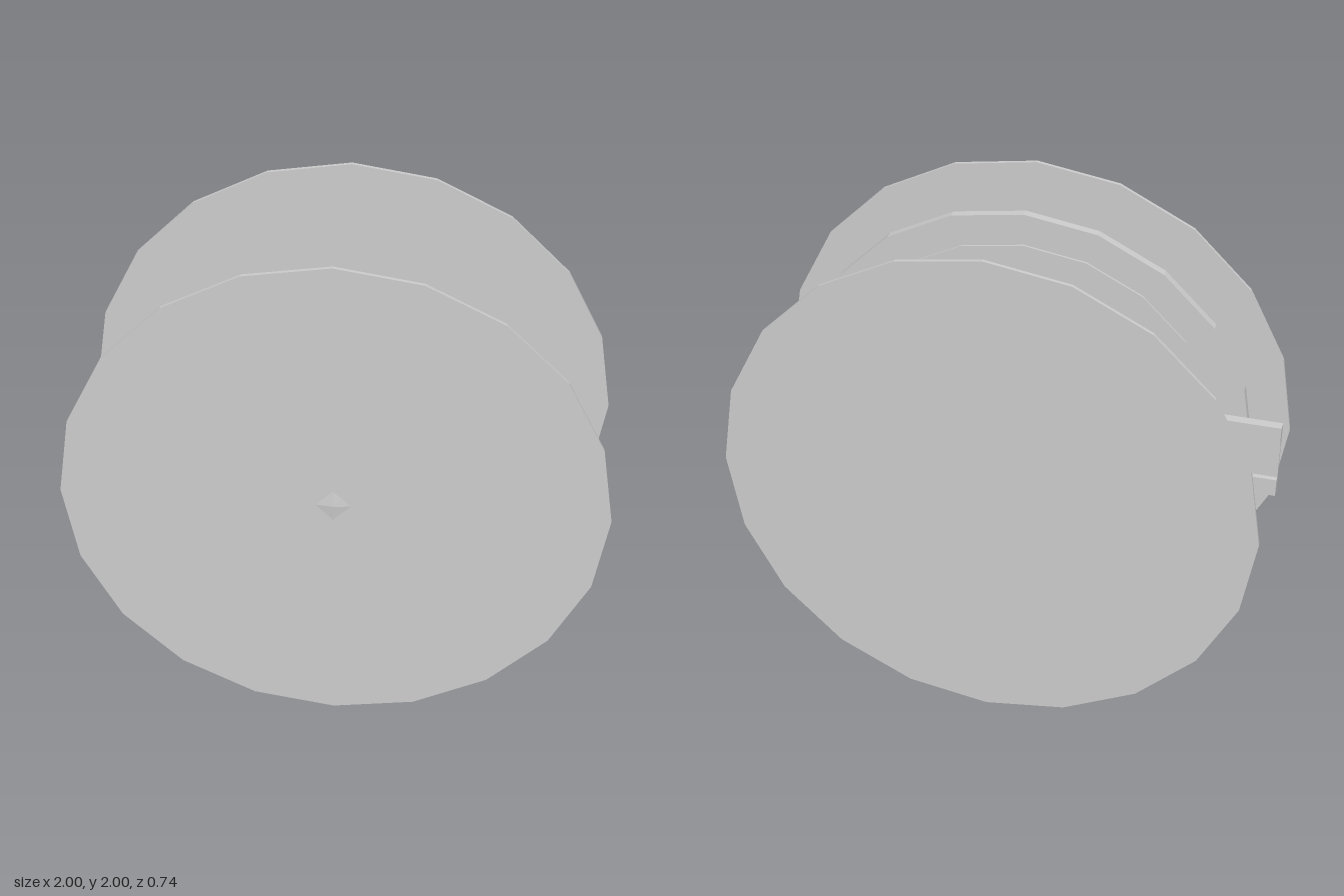
import * as THREE from 'three';

const material = new THREE.MeshStandardMaterial({ color: 0xcccccc, flatShading: true });
const openMaterial = new THREE.MeshStandardMaterial({ color: 0xcccccc, flatShading: true, side: THREE.DoubleSide });

// Twenty-sided plate facing z, spanning z0 to z1
function disc(name, radius, z0, z1) {
  const geometry = new THREE.CylinderGeometry(radius, radius, z1 - z0, 20).rotateX(Math.PI / 2);
  const mesh = new THREE.Mesh(geometry, material);
  mesh.name = name;
  mesh.position.set(0, 1, (z0 + z1) / 2);
  return mesh;
}

// Box given by its extents
function box(name, [x0, x1], [y0, y1], [z0, z1]) {
  const mesh = new THREE.Mesh(new THREE.BoxGeometry(x1 - x0, y1 - y0, z1 - z0), material);
  mesh.name = name;
  mesh.position.set((x0 + x1) / 2, (y0 + y1) / 2, (z0 + z1) / 2);
  return mesh;
}

// Ball made from a subdivided cube, with a square opening on each x side
function openBall(radius) {
  const source = new THREE.BoxGeometry(2, 2, 2, 8, 8, 8).toNonIndexed().attributes.position;
  const warp = (u) => u * (0.865 + 0.135 * u * u);
  const points = [];
  const v = new THREE.Vector3();
  for (let i = 0; i < source.count; i += 3) {
    const inOpening = [0, 1, 2].every((k) =>
      Math.abs(source.getX(i + k)) > 0.99 &&
      Math.abs(source.getY(i + k)) < 0.26 &&
      Math.abs(source.getZ(i + k)) < 0.26);
    if (inOpening) continue;
    for (let k = 0; k < 3; k++) {
      v.fromBufferAttribute(source, i + k);
      v.set(warp(v.x), warp(v.y), warp(v.z)).setLength(radius);
      points.push(v.x, v.y, v.z);
    }
  }
  const geometry = new THREE.BufferGeometry();
  geometry.setAttribute('position', new THREE.Float32BufferAttribute(points, 3));
  geometry.computeVertexNormals();
  return geometry;
}

export function createModel() {
  const model = new THREE.Group();
  model.name = 'discAssembly';

  // Outer plates and the stepped middle plate
  model.add(
    disc('frontPlate', 1, 0.35, 0.363),
    disc('backPlate', 1, -0.37, -0.357),
    disc('middlePlate', 0.88, 0.174, 0.205),
    disc('middlePlateCore', 0.757, 0.166, 0.211),
  );

  // Central ball
  const ball = new THREE.Mesh(openBall(0.295), openMaterial);
  ball.name = 'ball';
  ball.position.set(0, 1, 0.075);
  model.add(ball);

  // Channel rail behind the middle plate
  const rail = new THREE.Group();
  rail.name = 'rail';
  const span = [-0.99, 0.685];
  rail.add(
    box('railBase', span, [0.845, 1.155], [0.153, 0.17]),
    box('railLowerLip', span, [0.845, 0.918], [0.133, 0.153]),
    box('railUpperLip', span, [1.082, 1.155], [0.133, 0.153]),
  );
  model.add(rail);

  return model;
}
